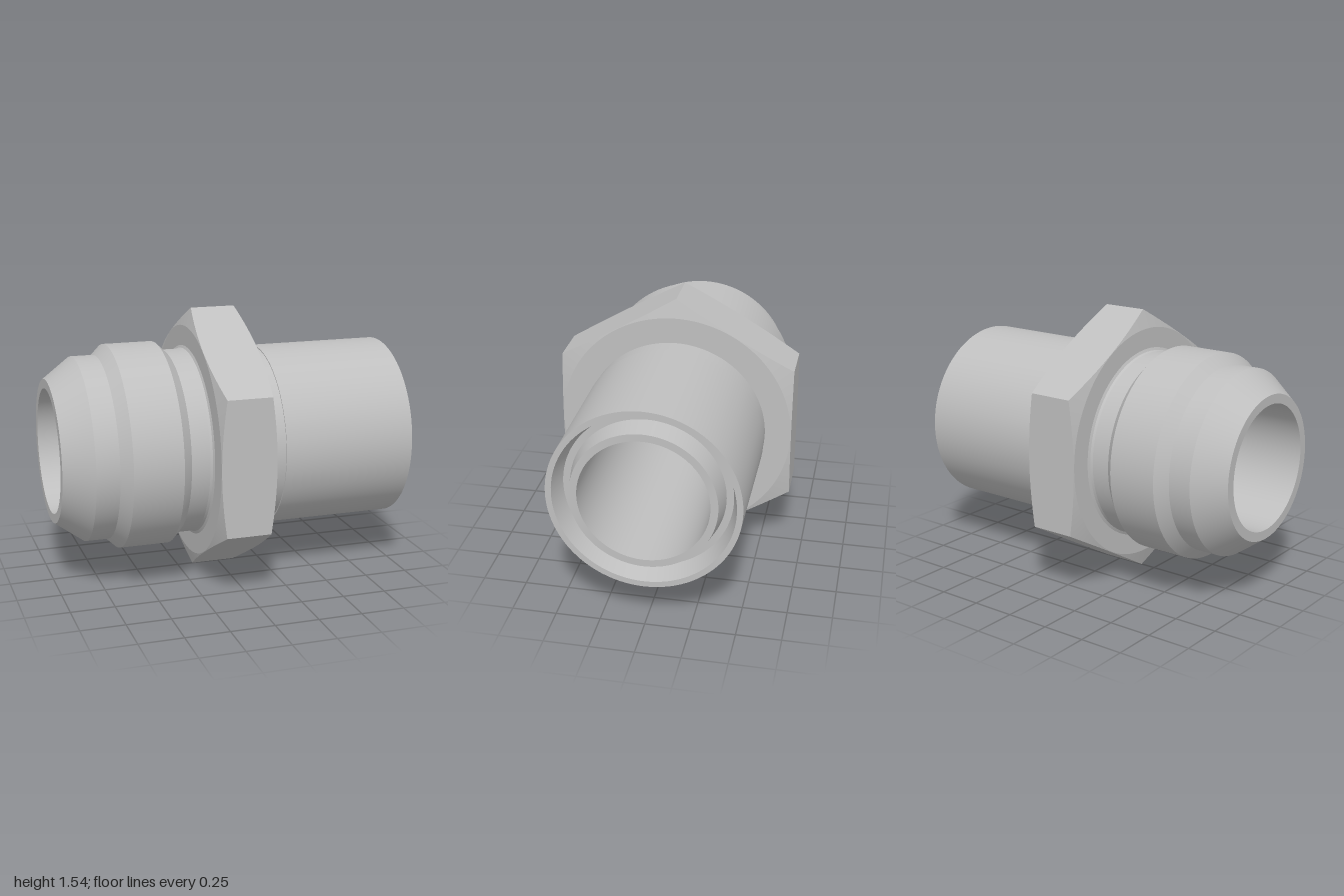
import * as THREE from 'three';
import { toCreasedNormals } from 'three/addons/utils/BufferGeometryUtils.js';

const AXIS_Y = 0.772;      // height of the fitting's axis
const APOTHEM = 0.669;     // half the width across the hex flats

// Closed profile of [x, radius] points turned around the x axis
function turned(profile) {
  const points = profile.map(([x, r]) => new THREE.Vector2(r, x));
  const geometry = new THREE.LatheGeometry(points, 96);
  geometry.rotateZ(-Math.PI / 2);
  return toCreasedNormals(geometry, 0.2);
}

// Hexagonal collar whose corners are cut by a shallow cone on both faces
function chamferedHex(xLeft, xRight, innerRadius) {
  const segments = 144;
  const slope = 0.03 / 0.103;
  const positions = [];
  const index = [];
  for (let j = 0; j <= segments; j++) {
    const angle = (j / segments) * Math.PI * 2;
    const fromFlat = (angle % (Math.PI / 3)) - Math.PI / 6;
    const r = APOTHEM / Math.cos(fromFlat);
    const cut = (r - APOTHEM + 0.003) * slope;
    const rings = [
      [xLeft, innerRadius], [xLeft, APOTHEM - 0.003], [xLeft + cut, r],
      [xRight - cut, r], [xRight, APOTHEM - 0.003], [xRight, innerRadius],
    ];
    for (const [x, radius] of rings) {
      positions.push(x, radius * Math.cos(angle), radius * Math.sin(angle));
    }
    if (j === segments) break;
    for (let i = 0; i < 5; i++) {
      const a = j * 6 + i;
      const b = a + 6;
      index.push(a, b, a + 1, b, b + 1, a + 1);
    }
  }
  const geometry = new THREE.BufferGeometry();
  geometry.setAttribute('position', new THREE.Float32BufferAttribute(positions, 3));
  geometry.setIndex(index);
  return toCreasedNormals(geometry, 0.1);
}

export function createModel() {
  const model = new THREE.Group();
  model.name = 'pipeFitting';
  const steel = new THREE.MeshStandardMaterial({ color: 0xbfbfbf });
  steel.name = 'steel grey';

  const add = (name, geometry) => {
    const mesh = new THREE.Mesh(geometry, steel);
    mesh.name = name;
    mesh.position.y = AXIS_Y;
    model.add(mesh);
  };

  // Hollow body: cone nose, raised band, neck, plain tube, grooved end, bore
  add('tubeBody', turned([
    [-1, 0.355], [-1, 0.408], [-0.84, 0.525], [-0.71, 0.525],
    [-0.65, 0.583], [-0.37, 0.583], [-0.315, 0.53], [-0.21, 0.53],
    [-0.197, 0.535], [-0.19, 0.55], [-0.17, 0.55], [-0.17, 0.519],
    [0.235, 0.519], [0.235, 0.525], [1, 0.525],
    [1, 0.492], [0.88, 0.459], [0.88, 0.42], [1, 0.396],
    [1, 0.355], [-1, 0.355],
  ]));

  // Wrench collar
  add('hexCollar', chamferedHex(-0.19, 0.127, 0.5));

  return model;
}
